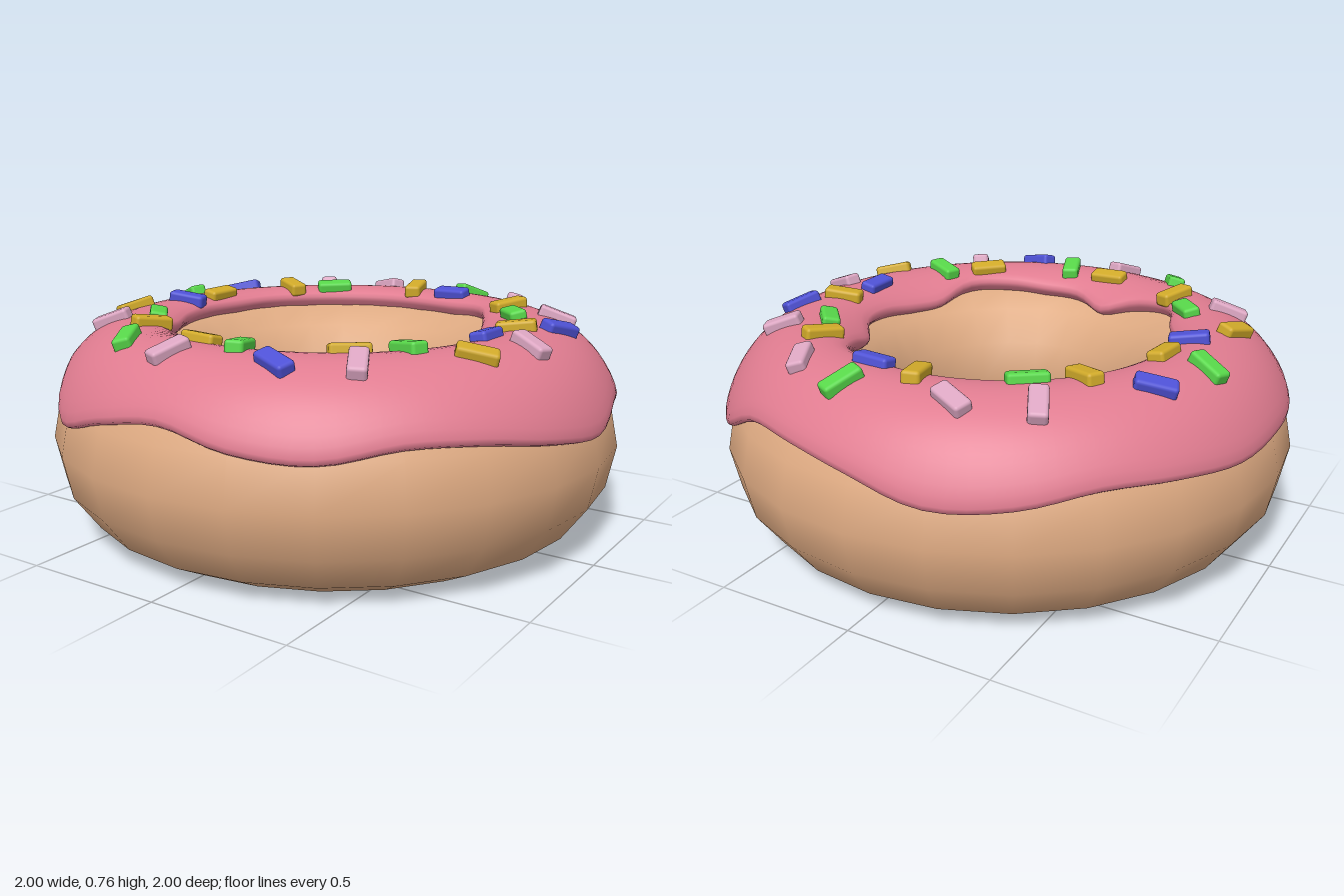
import * as THREE from 'three';
import { RoundedBoxGeometry } from 'three/addons/geometries/RoundedBoxGeometry.js';

const RING = 0.69, MID = 0.333;      // ring radius and height of the tube centre
const ICE_X = 0.325, ICE_Y = 0.395;  // icing cross-section half sizes

// Icing hem every 15 degrees, from +x towards +z
const OUTER_Y = [0.44, 0.47, 0.51, 0.52, 0.48, 0.5, 0.55, 0.51, 0.45, 0.56, 0.54, 0.49,
  0.49, 0.48, 0.5, 0.51, 0.47, 0.46, 0.52, 0.55, 0.54, 0.43, 0.45, 0.49];
const INNER_R = [0.52, 0.5, 0.5, 0.56, 0.56, 0.54, 0.53, 0.49, 0.56, 0.6, 0.56, 0.57,
  0.58, 0.58, 0.59, 0.59, 0.59, 0.59, 0.585, 0.585, 0.6, 0.54, 0.49, 0.52];

// Sprinkles by colour: x, z, turn in degrees
const SPRINKLES = {
  green: [[0.14, -0.78, -65], [-0.36, -0.53, -40], [0.53, -0.34, 47], [-0.78, -0.13, 22],
    [-0.52, 0.36, 48], [0.52, 0.39, 25], [-0.34, 0.7, 65], [0.08, 0.65, 70]],
  yellow: [[-0.05, -0.66, 75], [0.44, -0.49, -60], [-0.5, -0.43, 30], [-0.63, -0.12, -86],
    [0.65, -0.1, -20], [-0.74, 0.24, -68], [0.71, 0.31, -25], [-0.42, 0.5, -65],
    [0.38, 0.5, -43], [-0.1, 0.62, 2]],
  blue: [[0.13, -0.63, 3], [-0.7, -0.36, -22], [0.75, -0.22, -63], [-0.65, 0.05, -18],
    [0.63, 0.08, 90], [0.27, 0.73, 20]],
  lilac: [[-0.23, -0.75, 25], [-0.46, -0.65, 62], [0.37, -0.69, 68], [0.65, -0.44, -25],
    [0.78, 0.08, 18], [-0.64, 0.46, -25], [-0.1, 0.77, -70], [0.48, 0.61, 60]],
};

function material(name, color) {
  const m = new THREE.MeshStandardMaterial({ color });
  m.name = name;
  return m;
}

// Smooth periodic interpolation of a table, u in 0..1
function sample(table, u) {
  const n = table.length, f = u * n, i = Math.floor(f), t = f - i;
  const [a, b, c, d] = [-1, 0, 1, 2].map((k) => table[(i + k + n) % n]);
  return b + 0.5 * t * (c - a + t * (2 * a - 5 * b + 4 * c - d + t * (3 * (b - c) + d - a)));
}

// Shell swept round the ring, with a rounded lip at both hems
function icingGeometry() {
  const around = 96, across = 16;
  const lip = [[0.04, 0.84], [0, 0.92], [0, 0.965], [0.04, 0.99]];
  const pos = [], idx = [];
  let rows = 0;
  for (let i = 0; i < around; i++) {
    const u = i / around, a = u * Math.PI * 2;
    const start = Math.asin((sample(OUTER_Y, u) - MID) / ICE_Y);
    const end = Math.acos((sample(INNER_R, u) - RING) / ICE_X);
    const section = lip.map(([d, k]) => [start + d, k]);
    for (let j = 0; j <= across; j++) {
      section.push([start + 0.12 + (end - start - 0.24) * j / across, 1]);
    }
    for (const [d, k] of [...lip].reverse()) section.push([end - d, k]);
    rows = section.length;
    for (const [t, k] of section) {
      const r = RING + ICE_X * k * Math.cos(t);
      pos.push(r * Math.cos(a), MID + ICE_Y * k * Math.sin(t), r * Math.sin(a));
    }
  }
  for (let i = 0; i < around; i++) {
    for (let j = 0; j < rows - 1; j++) {
      const p = i * rows + j, q = ((i + 1) % around) * rows + j;
      idx.push(p, p + 1, q, q, p + 1, q + 1);
    }
  }
  const g = new THREE.BufferGeometry();
  g.setAttribute('position', new THREE.Float32BufferAttribute(pos, 3));
  g.setIndex(idx);
  g.computeVertexNormals();
  return g;
}

// Lay a sprinkle flat on the icing surface
function placeSprinkle(mesh, x, z, degrees) {
  const r = Math.hypot(x, z), c = (r - RING) / ICE_X, s = Math.sqrt(1 - c * c);
  const out = c / ICE_X;
  const normal = new THREE.Vector3(out * x / r, s / ICE_Y, out * z / r).normalize();
  const turn = THREE.MathUtils.degToRad(degrees);
  const along = new THREE.Vector3(Math.cos(turn), 0, Math.sin(turn));
  along.addScaledVector(normal, -along.dot(normal)).normalize();
  const side = new THREE.Vector3().crossVectors(along, normal);
  mesh.quaternion.setFromRotationMatrix(new THREE.Matrix4().makeBasis(along, normal, side));
  mesh.position.set(x, MID + ICE_Y * s, z).addScaledVector(normal, 0.005);
}

export function createModel() {
  const model = new THREE.Group();
  model.name = 'doughnut';

  // Dough ring
  const ring = new THREE.TorusGeometry(RING, 0.308, 14, 24);
  ring.rotateX(-Math.PI / 2);
  ring.scale(1, MID / 0.308 * 1.02, 1);
  ring.translate(0, MID, 0);
  const dough = new THREE.Mesh(ring, material('dough', 0xdeaa82));
  dough.name = 'dough';
  model.add(dough);

  // Icing
  const icing = new THREE.Mesh(icingGeometry(), material('pink icing', 0xe07c90));
  icing.material.side = THREE.DoubleSide;
  icing.name = 'icing';
  model.add(icing);

  // Sprinkles
  const colors = { green: 0x58d84a, yellow: 0xd2ab2a, blue: 0x4f52d6, lilac: 0xdca6c2 };
  const stick = new RoundedBoxGeometry(0.135, 0.05, 0.062, 2, 0.012);
  const sprinkles = new THREE.Group();
  sprinkles.name = 'sprinkles';
  for (const [name, list] of Object.entries(SPRINKLES)) {
    const mat = material(name + ' sprinkle', colors[name]);
    for (const [x, z, turn] of list) {
      const mesh = new THREE.Mesh(stick, mat);
      mesh.name = name + 'Sprinkle';
      placeSprinkle(mesh, x, z, turn);
      sprinkles.add(mesh);
    }
  }
  model.add(sprinkles);
  return model;
}
